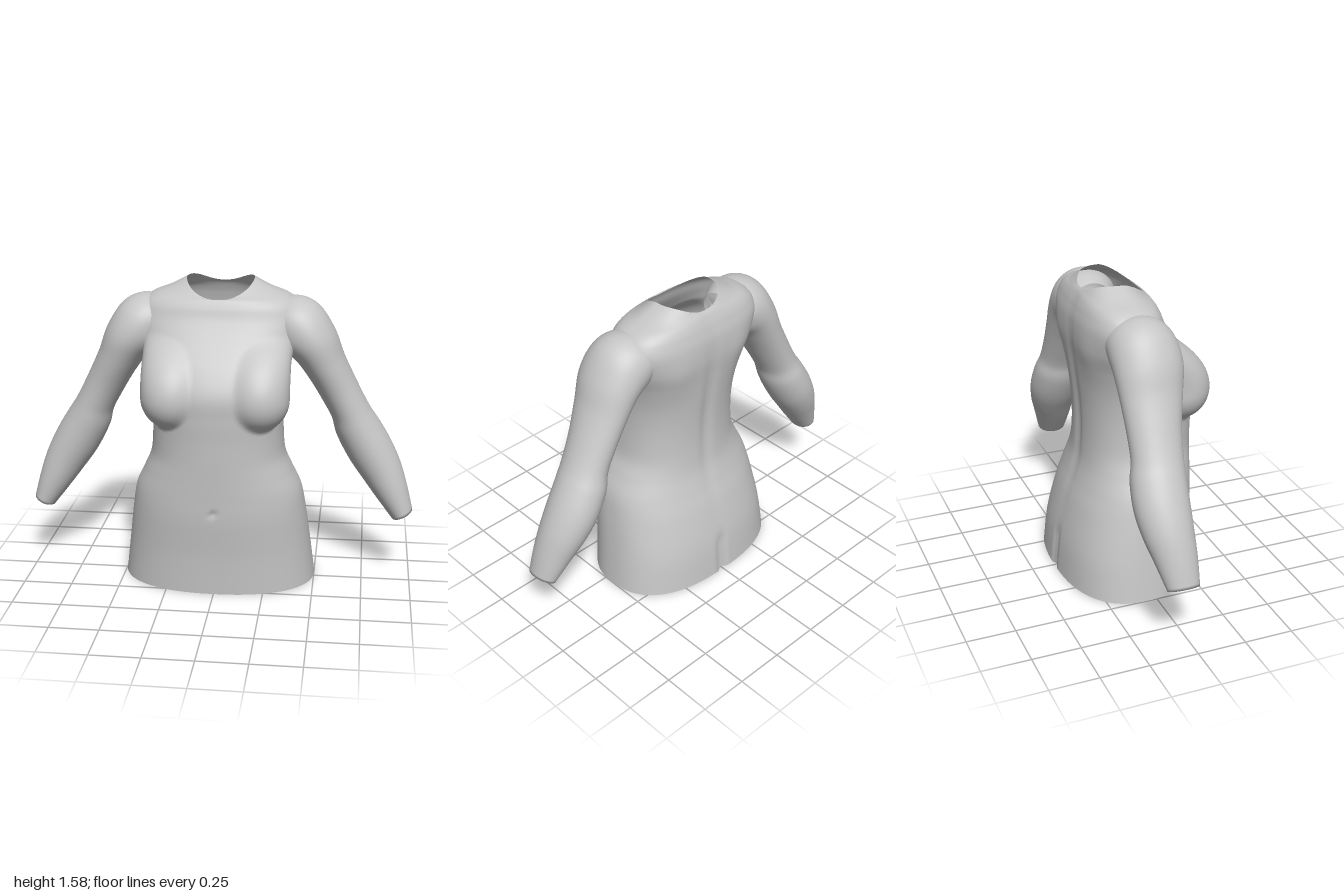
import * as THREE from 'three';

const gauss = (d, w) => Math.exp(-(d * d) / (w * w));
const spow = (v, e) => Math.sign(v) * Math.pow(Math.abs(v), e);

// Catmull-Rom blend of a table of cross-section rows, t in 0..1
function sample(rows, t) {
  const n = rows.length - 1, f = Math.min(t * n, n - 1e-6), i = Math.floor(f), k = f - i;
  const [a, b, c, d] = [-1, 0, 1, 2].map(o => rows[Math.max(0, Math.min(n, i + o))]);
  return b.map((_, j) => b[j] + 0.5 * k * (c[j] - a[j] + k * (2 * a[j] - 5 * b[j] + 4 * c[j] - d[j]
    + k * (3 * (b[j] - c[j]) + d[j] - a[j]))));
}

// Closed rings stacked into one smooth skin
function skin(nu, nv, point, flip) {
  const pos = [], idx = [];
  for (let j = 0; j <= nv; j++)
    for (let i = 0; i < nu; i++) pos.push(...point(i / nu * Math.PI * 2, j / nv));
  for (let j = 0; j < nv; j++)
    for (let i = 0; i < nu; i++) {
      const a = j * nu + i, b = j * nu + (i + 1) % nu, c = a + nu, d = b + nu;
      if (flip) idx.push(a, c, b, b, c, d);
      else idx.push(a, b, c, b, d, c);
    }
  const g = new THREE.BufferGeometry();
  g.setAttribute('position', new THREE.Float32BufferAttribute(pos, 3));
  g.setIndex(idx);
  g.computeVertexNormals();
  return g;
}

// Torso rows: side height, half width, front z, back z, roundness, front drop, back drop
const TORSO = [
  [0.00, 0.500, 0.290, -0.378, 0.88, 0, 0],
  [0.20, 0.475, 0.303, -0.357, 0.88, 0, 0],
  [0.40, 0.448, 0.325, -0.310, 0.90, 0, 0],
  [0.52, 0.425, 0.332, -0.272, 0.92, 0, 0],
  [0.62, 0.380, 0.337, -0.245, 0.92, 0, 0],
  [0.71, 0.343, 0.342, -0.235, 0.92, 0, 0],
  [0.82, 0.332, 0.347, -0.232, 0.92, 0, 0],
  [0.94, 0.332, 0.355, -0.237, 0.92, 0, 0],
  [1.06, 0.342, 0.354, -0.248, 0.90, 0, 0],
  [1.18, 0.362, 0.300, -0.260, 0.85, 0, 0],
  [1.29, 0.390, 0.218, -0.270, 0.78, 0, 0],
  [1.39, 0.410, 0.155, -0.267, 0.77, 0, 0],
  [1.455, 0.392, 0.130, -0.252, 0.78, -0.003, 0],
  [1.498, 0.345, 0.114, -0.238, 0.82, -0.015, -0.005],
  [1.532, 0.262, 0.106, -0.224, 0.90, -0.038, -0.012],
  [1.58, 0.170, 0.100, -0.210, 0.95, -0.088, -0.045],
];

// Radius at which a flat ray from the body axis leaves the bust form (0 if it misses).
// Below its centre the form rounds under; above, it leans back into the chest.
function bustRadius(dx, dz, y) {
  const up = Math.max(0, y - 1.03) / 0.32, down = Math.max(0, 1.03 - y) / 0.163;
  if (up >= 1 || down >= 1) return 0;
  const s = Math.sqrt(1 - down * down), rx = 0.155 * s, rz = 0.16 * s;
  const ux = Math.abs(dx) / rx, uz = dz / rz, cx = 0.215 / rx, cz = (0.22 - 0.27 * up * up) / rz;
  const A = ux * ux + uz * uz, B = ux * cx + uz * cz, D = B * B - A * (cx * cx + cz * cz - 1);
  return D > 0 && B > 0 ? (B + Math.sqrt(D)) / A : 0;
}

function torsoPoint(angle, t) {
  const [ys, hw, zf, zb, round, df, db] = sample(TORSO, t);
  const c = Math.cos(angle), s = Math.sin(angle), zc = (zf + zb) / 2;
  // the back is flatter than the front
  const e = s > 0 ? round : round - 0.07;
  let x = hw * spow(c, e), z = zc + (zf - zb) / 2 * spow(s, e);
  const y = ys + (s > 0 ? df * Math.pow(s, 1.4) : db * Math.pow(s, 4));
  // bust blended smoothly into the chest
  const r = Math.hypot(x, z), b = z > 0 ? bustRadius(x / r, z / r, y) : 0;
  if (b > 0) {
    const k = 0.03, m = Math.max(k - Math.abs(r - b), 0) / k;
    const grown = (Math.max(r, b) + m * m * k / 4) / r;
    x *= grown;
    z *= grown;
  }
  if (s > 0) {
    // navel
    z -= 0.018 * gauss(x - 0.005, 0.01) * gauss(y - 0.45, 0.018);
  } else {
    // spine furrow, seat crease and shoulder blades
    z += 0.014 * gauss(x, 0.035) * gauss(y - 0.95, 0.42);
    z += 0.02 * gauss(x, 0.01) * gauss(Math.max(0, y - 0.16), 0.06);
    z -= 0.008 * gauss(Math.abs(x) - 0.2, 0.09) * gauss(y - 1.25, 0.12);
  }
  return [x, y, z];
}

// Arm rows: centre x, centre y, radius across, centre z, radius in z
const ARM = [
  [0.24, 1.375, 0.080, -0.060, 0.100],
  [0.32, 1.368, 0.126, -0.055, 0.150],
  [0.39, 1.340, 0.151, -0.047, 0.169],
  [0.465, 1.265, 0.130, -0.044, 0.171],
  [0.53, 1.150, 0.108, -0.055, 0.154],
  [0.60, 1.020, 0.100, -0.070, 0.135],
  [0.66, 0.905, 0.099, -0.080, 0.128],
  [0.70, 0.815, 0.113, -0.092, 0.136],
  [0.765, 0.700, 0.118, -0.098, 0.136],
  [0.83, 0.590, 0.108, -0.092, 0.124],
  [0.89, 0.475, 0.087, -0.076, 0.104],
  [0.95, 0.352, 0.058, -0.062, 0.080],
];

function armGeometry(side) {
  const rings = 66;
  return skin(48, rings + 1, (angle, v) => {
    // the last ring closes the wrist
    const j = Math.round(v * (rings + 1)), t = Math.min(1, j / rings);
    const [x, y, r, zc, rz] = sample(ARM, t);
    const p = sample(ARM, Math.max(0, t - 0.01)), q = sample(ARM, Math.min(1, t + 0.01));
    const len = Math.hypot(q[0] - p[0], q[1] - p[1]);
    const tx = (q[0] - p[0]) / len, ty = (q[1] - p[1]) / len;
    const k = j > rings ? 0 : 1, c = Math.cos(angle) * r * k;
    return [side * (x - ty * c), y + tx * c, zc + Math.sin(angle) * rz * k];
  }, side < 0);
}

export function createModel() {
  const model = new THREE.Group();
  const grey = new THREE.MeshStandardMaterial({ color: 0xc6c6c6, side: THREE.DoubleSide });
  grey.name = 'plain grey';
  const add = (name, geometry) => {
    const mesh = new THREE.Mesh(geometry, grey);
    mesh.name = name;
    model.add(mesh);
  };
  add('torso', skin(160, 150, torsoPoint, true));
  add('leftArm', armGeometry(1));
  add('rightArm', armGeometry(-1));
  return model;
}
